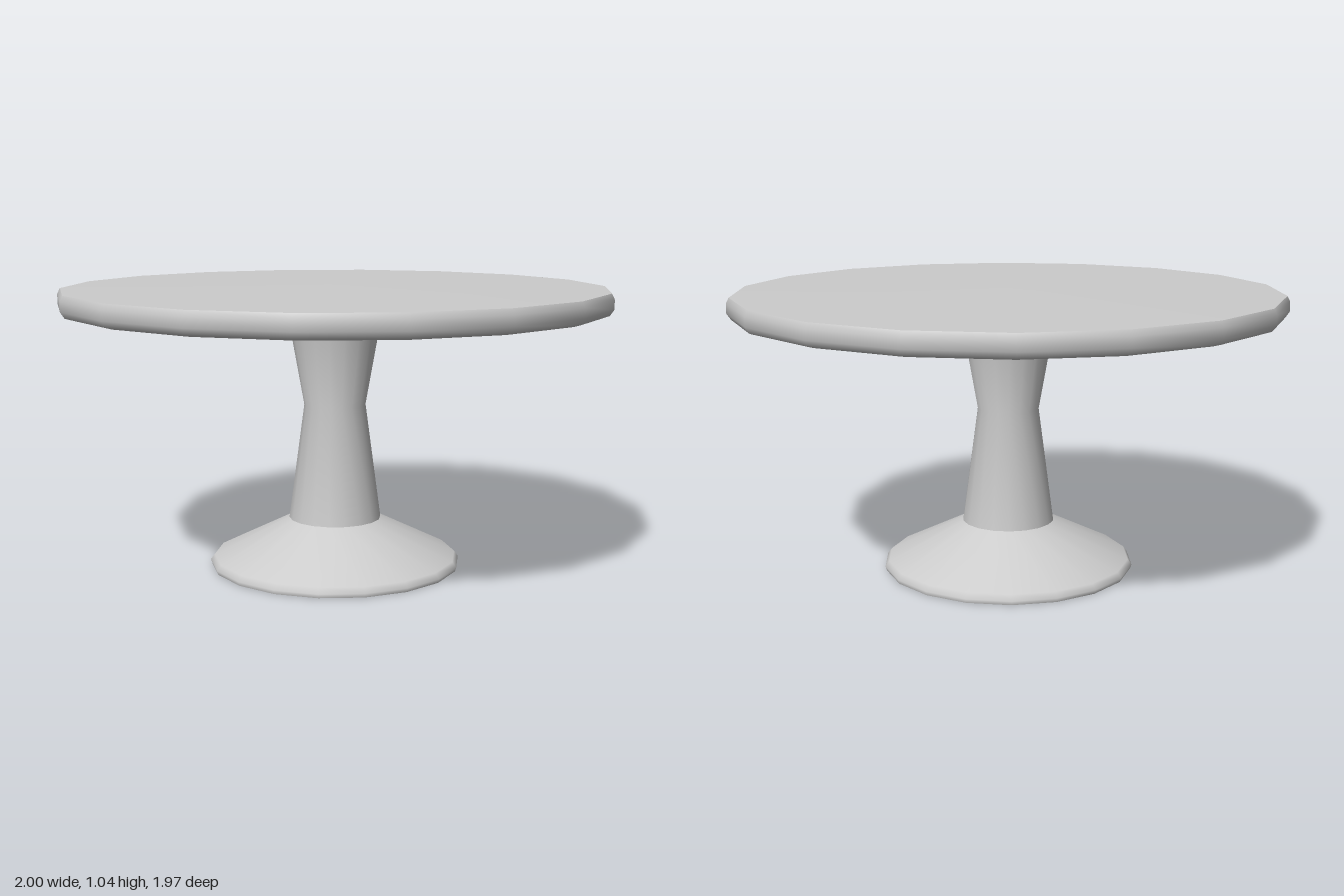
import * as THREE from 'three';

const SIDES = 18;
const material = new THREE.MeshStandardMaterial({ color: 0xcccccc, side: THREE.DoubleSide });

// One part turned from several profiles; shading is smooth within a profile
// and sharp where two profiles meet.
function turned(name, profiles) {
  const part = new THREE.Group();
  part.name = name;
  profiles.forEach((profile, i) => {
    const points = profile.map(([r, y]) => new THREE.Vector2(r, y));
    const geometry = new THREE.LatheGeometry(points, SIDES);
    geometry.rotateY(Math.PI / 2); // put a corner on the x axis
    const mesh = new THREE.Mesh(geometry, material);
    mesh.name = `${name}Surface${i + 1}`;
    part.add(mesh);
  });
  return part;
}

export function createModel() {
  const table = new THREE.Group();
  table.name = 'pedestalTable';

  // Flared foot: flat underside, rounded lip and sloping cone
  table.add(turned('foot', [
    [[0, 0], [0.46, 0]],
    [[0.46, 0], [0.465, 0.015], [0.45, 0.035], [0.17, 0.175]],
  ]));

  // Waisted column
  table.add(turned('column', [
    [[0.17, 0.175], [0.113, 0.6], [0.17, 0.92]],
  ]));

  // Round top: shallow cone below, rounded rim, barely domed surface
  table.add(turned('tableTop', [
    [[0, 0.91], [0.96, 0.946]],
    [[0.96, 0.946], [0.985, 0.953], [1, 0.975], [1, 1.01], [0.99, 1.03]],
    [[0.99, 1.03], [0, 1.04]],
  ]));

  return table;
}
